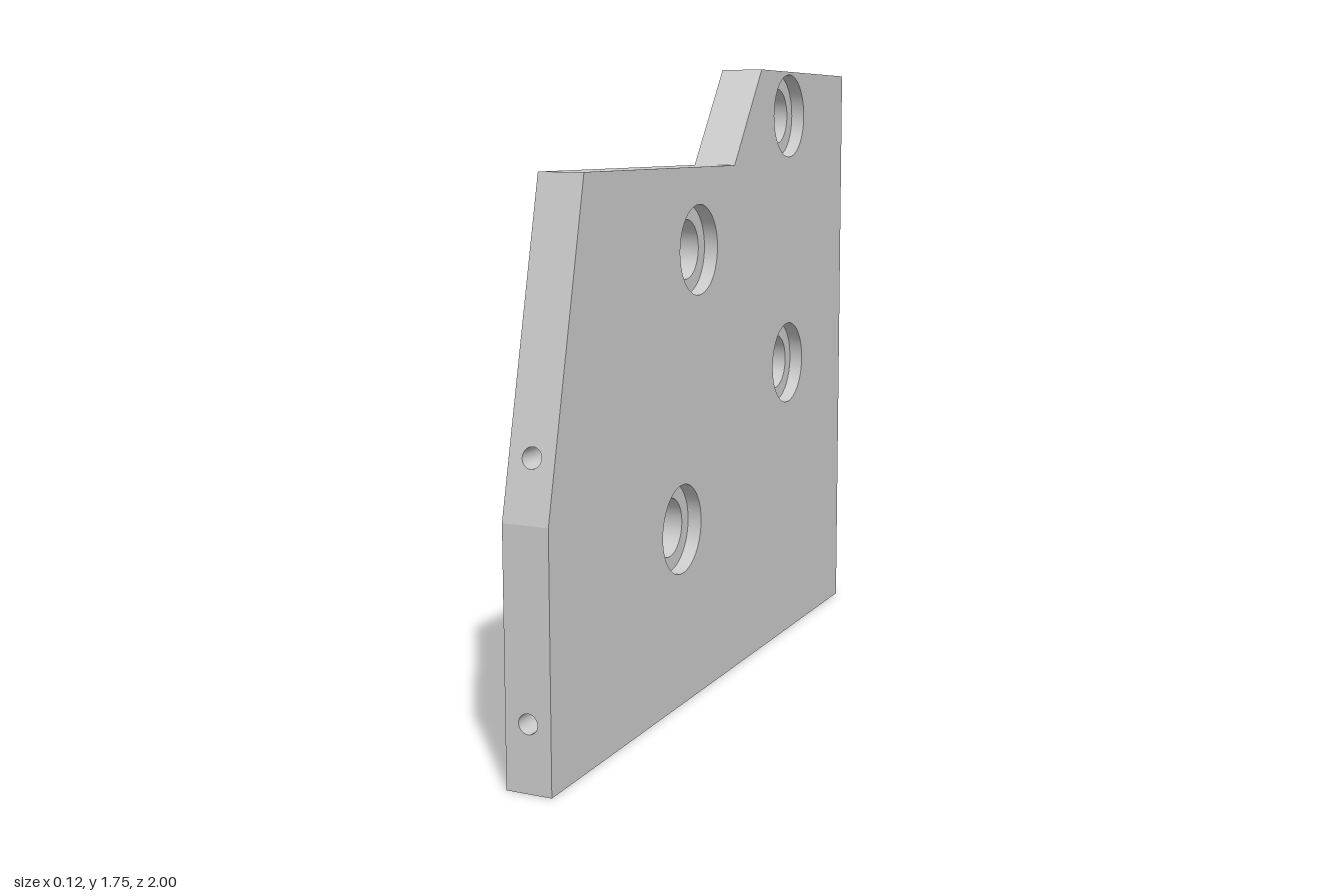
import * as THREE from 'three';

const HALF = 0.0625;                 // half plate thickness
const SINK = 0.04;                   // counterbore depth
const R_BIG = 0.124, R_THRU = 0.082, R_PIN = 0.026, PIN_DEPTH = 0.25;

// Plate outline as [z, y], counter-clockwise seen from +x
const OUTLINE = [[1, 0], [-1, 0], [-1, 1.755], [-0.3, 1.755], [-0.1, 1.48], [0.807, 1.48], [1, 0.66]];
// Counterbored bolt holes as [z, y]
const BOLTS = [[0.145, 1.255], [-0.524, 1.622], [-0.524, 0.862], [0.257, 0.497]];
// Heights of the small blind holes, by outline edge
const PINS = { 1: [0.968, 0.238], 5: [0.815], 6: [0.175] };

const grey = new THREE.MeshStandardMaterial({ color: 0xcccccc });

function add(group, name, geometry) {
  const mesh = new THREE.Mesh(geometry, grey);
  mesh.name = name;
  group.add(mesh);
  return mesh;
}

function ellipseHole(x, y, rx, ry) {
  return new THREE.Path().absellipse(x, y, rx, ry, 0, Math.PI * 2, true);
}

// Open tube along y whose faces look inward
function boreTube(radius, length) {
  return new THREE.CylinderGeometry(radius, radius, length, 48, 1, true).scale(-1, 1, 1);
}

// Inward-facing normals for a bore
function finishBore(geometry) {
  geometry.computeVertexNormals();
  return geometry;
}

// Large side face at x = side * HALF
function sideFace(side, radius) {
  const shape = new THREE.Shape(OUTLINE.map(([z, y]) => new THREE.Vector2(-side * z, y)));
  for (const [z, y] of BOLTS) shape.holes.push(ellipseHole(-side * z, y, radius, radius));
  return new THREE.ShapeGeometry(shape, 24)
    .rotateY(side * Math.PI / 2)
    .translate(side * HALF, 0, 0);
}

// Narrow wall along one outline edge, pierced by its blind holes
function edgeWall(a, b, heights) {
  const dir = new THREE.Vector3(0, b[1] - a[1], b[0] - a[0]);
  const length = dir.length();
  const rise = b[1] - a[1];
  dir.normalize();
  const across = new THREE.Vector3(-1, 0, 0);
  const normal = new THREE.Vector3().crossVectors(across, dir);
  const shape = new THREE.Shape([[-HALF, 0], [HALF, 0], [HALF, length], [-HALF, length]]
    .map(([x, y]) => new THREE.Vector2(x, y)));
  for (const y of heights) {
    const t = (y - a[1]) / rise * length;
    shape.holes.push(ellipseHole(0, t, R_PIN, R_PIN * length / Math.abs(rise)));
  }
  const frame = new THREE.Matrix4().makeBasis(across, dir, normal).setPosition(0, a[1], a[0]);
  return new THREE.ShapeGeometry(shape, 24).applyMatrix4(frame);
}

// Horizontal blind hole whose mouth follows the slope of its edge
function pinHole(group, a, b, y) {
  const side = Math.sign(a[0]);
  const faceZ = h => a[0] + (b[0] - a[0]) * (h - a[1]) / (b[1] - a[1]);
  const endZ = faceZ(y) - side * PIN_DEPTH;
  const tube = boreTube(R_PIN, 1).rotateX(Math.PI / 2).translate(0, y, 0);
  const p = tube.attributes.position;
  for (let i = 0; i < p.count; i++) {
    p.setZ(i, p.getZ(i) * side > 0 ? faceZ(p.getY(i)) : endZ);
  }
  add(group, 'pinHoleWall', finishBore(tube));
  const floor = add(group, 'pinHoleFloor', new THREE.CircleGeometry(R_PIN, 48));
  floor.position.set(0, y, endZ);
  if (side < 0) floor.rotation.y = Math.PI;
}

export function createModel() {
  const model = new THREE.Group();
  model.name = 'mountingPlate';

  // Broad faces: wide openings on the left, plain bores on the right
  add(model, 'leftFace', sideFace(1, R_BIG));
  add(model, 'rightFace', sideFace(-1, R_THRU));

  // Perimeter walls and their blind holes
  OUTLINE.forEach((a, i) => {
    const b = OUTLINE[(i + 1) % OUTLINE.length];
    const heights = PINS[i] || [];
    add(model, 'edgeWall', edgeWall(a, b, heights));
    for (const y of heights) pinHole(model, a, b, y);
  });

  // Counterbored bolt holes
  const stepX = HALF - SINK;
  for (const [z, y] of BOLTS) {
    const bolt = new THREE.Group();
    bolt.name = 'boltHole';
    bolt.position.set(0, y, z);
    add(bolt, 'counterboreWall', finishBore(
      boreTube(R_BIG, SINK).rotateZ(Math.PI / 2).translate(HALF - SINK / 2, 0, 0)));
    add(bolt, 'counterboreStep',
      new THREE.RingGeometry(R_THRU, R_BIG, 48).rotateY(Math.PI / 2).translate(stepX, 0, 0));
    add(bolt, 'throughBore', finishBore(
      boreTube(R_THRU, stepX + HALF).rotateZ(Math.PI / 2).translate((stepX - HALF) / 2, 0, 0)));
    model.add(bolt);
  }
  return model;
}
